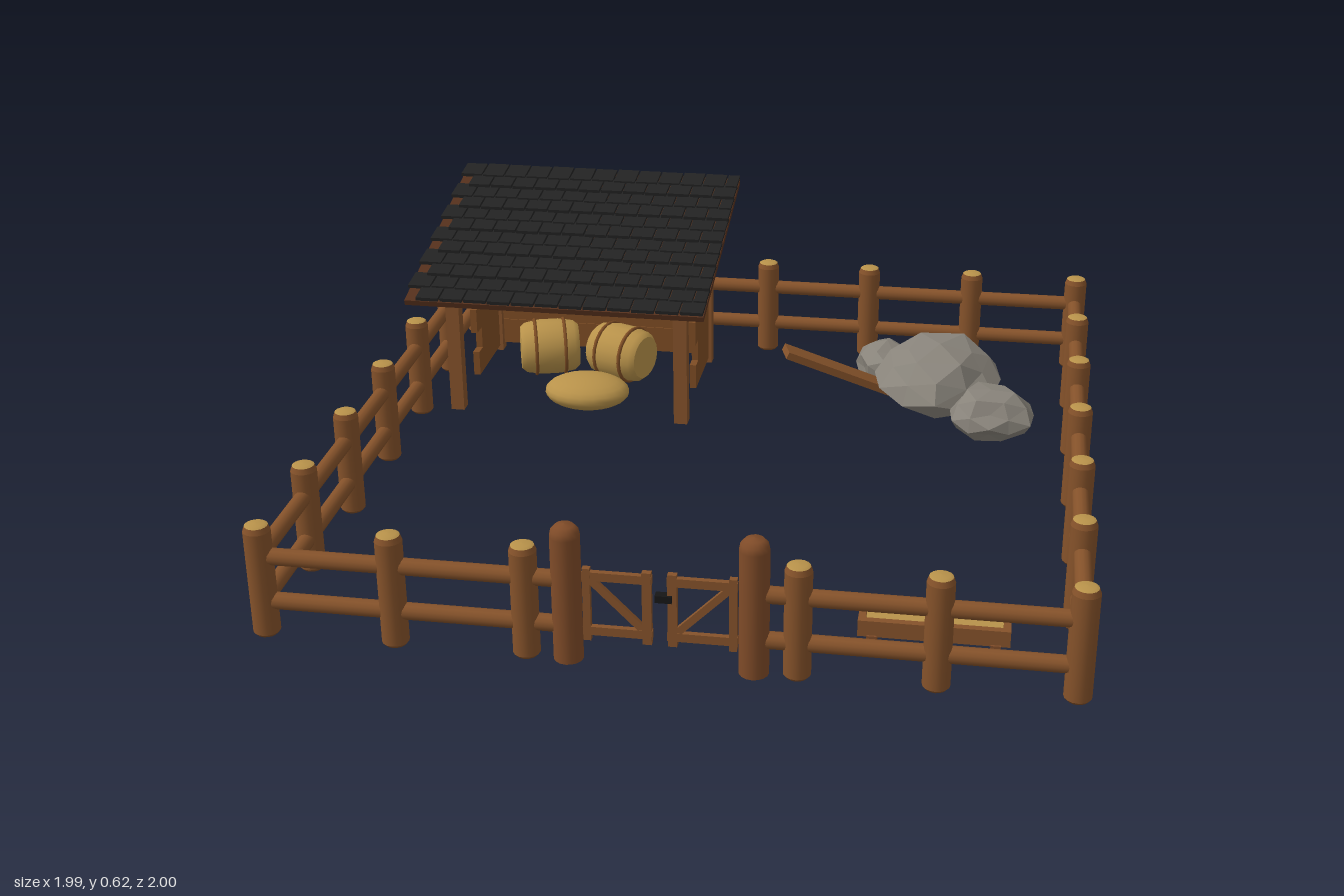
import * as THREE from 'three';

const mat = (name, color, opts = {}) => {
  const m = new THREE.MeshStandardMaterial({ color, ...opts });
  m.name = name;
  return m;
};

export function createModel() {
  const wood = mat('fence wood', 0x85522a);
  const plankWood = mat('plank wood', 0x7e4d24);
  const gateWood = mat('gate post wood', 0x7f4b28);
  const hay = mat('hay', 0xb8924a);
  const tile = mat('roof tile', 0x232323);
  const under = mat('roof boards', 0x55301c);
  const stone = mat('stone', 0x88837a, { flatShading: true });
  const iron = mat('iron', 0x161616);

  const model = new THREE.Group();
  const group = (name, parent = model) => {
    const g = new THREE.Group();
    g.name = name;
    parent.add(g);
    return g;
  };
  const add = (parent, name, geo, m, x = 0, y = 0, z = 0) => {
    const mesh = new THREE.Mesh(geo, m);
    mesh.name = name;
    mesh.position.set(x, y, z);
    parent.add(mesh);
    return mesh;
  };
  const box = (parent, name, m, w, h, d, x, y, z) =>
    add(parent, name, new THREE.BoxGeometry(w, h, d), m, x, y, z);
  const up = new THREE.Vector3(0, 1, 0);
  // Round bar or square bar between two points
  const bar = (parent, name, m, a, b, r, sides = 12) => {
    const p = new THREE.Vector3(...a), q = new THREE.Vector3(...b);
    const d = q.clone().sub(p);
    const mesh = add(parent, name, new THREE.CylinderGeometry(r, r, d.length(), sides), m);
    mesh.position.copy(p.add(q).multiplyScalar(0.5));
    mesh.quaternion.setFromUnitVectors(up, d.normalize());
    return mesh;
  };
  const lathe = (pts, n = 16) => new THREE.LatheGeometry(pts.map(p => new THREE.Vector2(...p)), n);

  // Fence posts with pale cut tops
  const fence = group('fence');
  const postGeo = lathe([[0, 0.04], [0.026, 0.04], [0.033, 0.048], [0.033, 0.048],
    [0.033, 0.318], [0.033, 0.318], [0.028, 0.332]]);
  const capGeo = lathe([[0.028, 0.332], [0.02, 0.336], [0, 0.337]]);
  for (let i = -3; i <= 3; i++) {
    for (let j = -3; j <= 3; j++) {
      const edge = Math.abs(i) === 3 || Math.abs(j) === 3;
      if (!edge || (i === 0 && j === 3)) continue;
      add(fence, 'fencePost', postGeo, wood, i * 0.321, 0, j * 0.321);
      add(fence, 'fencePostTop', capGeo, hay, i * 0.321, 0, j * 0.321);
    }
  }
  // Fence rails, leaving the gate opening in front
  const e = 0.963;
  for (const y of [0.13, 0.25]) {
    bar(fence, 'backRail', wood, [-e, y, -e], [e, y, -e], 0.021);
    for (const s of [-1, 1]) {
      bar(fence, 'sideRail', wood, [s * e, y, -e], [s * e, y, e], 0.021);
      bar(fence, 'frontRail', wood, [s * e, y, e], [s * 0.22, y, e], 0.021);
    }
  }

  // Gate: domed posts and two braced leaves
  const gate = group('gate');
  const gatePost = lathe([[0, 0.04], [0.036, 0.04], [0.036, 0.04], [0.036, 0.365],
    [0.033, 0.38], [0.022, 0.392], [0, 0.396]]);
  for (const s of [-1, 1]) {
    add(gate, 'gatePost', gatePost, gateWood, s * 0.22, 0, e);
    const leaf = group('gateLeaf', gate);
    box(leaf, 'innerStile', wood, 0.022, 0.19, 0.016, s * 0.03, 0.19, e);
    box(leaf, 'outerStile', wood, 0.018, 0.19, 0.016, s * 0.172, 0.19, e);
    for (const y of [0.12, 0.265]) box(leaf, 'gateRail', wood, 0.165, 0.022, 0.014, s * 0.1, y, e);
    const brace = box(leaf, 'gateBrace', wood, 0.185, 0.018, 0.012, s * 0.1, 0.192, e);
    brace.rotation.z = s * 0.79;
  }
  box(gate, 'latch', iron, 0.04, 0.018, 0.022, 0.01, 0.222, e + 0.003);

  // Shelter frame: low front posts, tall back posts
  const shelter = group('shelter');
  for (const x of [-0.86, -0.18]) {
    box(shelter, 'shelterFrontPost', wood, 0.04, 0.41, 0.04, x, 0.245, -0.365);
    box(shelter, 'shelterBackPost', wood, 0.04, 0.52, 0.04, x, 0.3, -0.83);
  }
  // Back wall boards
  for (let i = 0; i < 6; i++)
    box(shelter, 'backBoard', plankWood, 0.69, 0.08, 0.018 + (i % 2) * 0.005, -0.52, 0.1 + i * 0.0825, -0.84);
  // Side boards of uneven length
  const lengths = [0.24, 0.2, 0.25, 0.13, 0.25];
  for (const x of [-0.86, -0.18])
    lengths.forEach((l, i) =>
      box(shelter, 'sideBoard', plankWood, 0.02, 0.076, l, x, 0.095 + i * 0.072 + (i > 3 ? 0.004 : 0), -0.81 + l / 2));
  // Beams under the roof
  box(shelter, 'frontBeam', wood, 0.72, 0.03, 0.03, -0.52, 0.435, -0.365);

  // Sloping roof with staggered overlapping tiles
  const roof = group('roof', shelter);
  roof.position.set(-0.53, 0.513, -0.598);
  roof.rotation.x = 0.242;
  box(roof, 'roofDeck', under, 0.875, 0.016, 0.74, 0, -0.004, 0);
  const rows = 12, pitch = 0.0615;
  for (let r = 0; r < rows; r++) {
    const z = -0.335 + r * pitch;
    const place = (w, x, k) => {
      const t = box(roof, 'roofTile', tile, w - 0.005, 0.01, 0.078 + (k % 3) * 0.003, x, 0.014 + (k % 2) * 0.002, z);
      t.rotation.x = -0.12;
    };
    const start = r % 2 ? -0.4 : -0.44;
    for (let c = 0; c < 12; c++) place(0.07, start + 0.035 + c * 0.07, c * 2 + r);
    if (r % 2 === 0) place(0.04, 0.42, r);
  }

  // Round hay bales tied with bands, and a loose heap
  const bales = group('hayBales');
  const baleGeo = lathe([[0, -0.09], [0.065, -0.09], [0.065, -0.09], [0.078, -0.075], [0.086, -0.03],
    [0.086, 0.03], [0.078, 0.075], [0.065, 0.09], [0.065, 0.09], [0, 0.09]], 18);
  for (const [x, z, turn] of [[-0.65, -0.67, 0.3], [-0.42, -0.66, -0.4]]) {
    const bale = group('hayBale', bales);
    bale.position.set(x, 0.125, z);
    bale.rotation.set(0, turn, Math.PI / 2);
    add(bale, 'baleBody', baleGeo, hay);
    for (const y of [-0.045, 0.045]) {
      const band = add(bale, 'baleBand', new THREE.TorusGeometry(0.084, 0.006, 6, 20), plankWood, 0, y, 0);
      band.rotation.x = Math.PI / 2;
    }
  }
  add(bales, 'hayHeap', new THREE.SphereGeometry(1, 20, 12), hay, -0.5, 0.05, -0.52).scale.set(0.13, 0.05, 0.1);

  // Boulders: faceted balls with vertices pushed in and out by a repeatable rule
  const rocks = group('rocks');
  const rock = (name, x, y, z, sx, sy, sz, seed, detail) => {
    const geo = new THREE.IcosahedronGeometry(1, detail);
    const p = geo.attributes.position, v = new THREE.Vector3();
    for (let i = 0; i < p.count; i++) {
      v.fromBufferAttribute(p, i);
      const n = Math.sin(v.x * 5.1 + seed) + Math.sin(v.y * 6.3 + seed * 2) + Math.sin(v.z * 5.7 + seed * 3);
      v.multiplyScalar(0.98 + n * 0.075);
      p.setXYZ(i, v.x, Math.max(v.y, -0.8), v.z);
    }
    geo.computeVertexNormals();
    add(rocks, name, geo, stone, x, y, z).scale.set(sx, sy, sz);
  };
  rock('bigRock', 0.565, 0.135, -0.6, 0.19, 0.1, 0.21, 1.3, 1);
  rock('backRock', 0.4, 0.115, -0.72, 0.1, 0.075, 0.105, 2.6, 1);
  rock('frontRock', 0.725, 0.12, -0.39, 0.12, 0.075, 0.13, 4.1, 1);

  // Plank propped on the rocks
  const plank = group('proppedPlank');
  plank.position.set(0.27, 0.175, -0.505);
  plank.rotation.set(0, 0.3, -0.42, 'YZX');
  box(plank, 'plank', wood, 0.35, 0.022, 0.072, 0, 0, 0);

  // Feeding trough on two cross feet
  const trough = group('trough');
  trough.position.set(0.627, 0, 0.76);
  for (const s of [-1, 1]) {
    box(trough, 'troughFoot', gateWood, 0.024, 0.036, 0.128, s * 0.146, 0.058, 0);
    box(trough, 'troughSide', wood, 0.36, 0.042, 0.018, 0, 0.093, s * 0.05);
    box(trough, 'troughEnd', wood, 0.018, 0.042, 0.1, s * 0.171, 0.093, 0);
  }
  box(trough, 'troughBase', wood, 0.34, 0.012, 0.1, 0, 0.078, 0);
  box(trough, 'troughHay', hay, 0.325, 0.02, 0.084, 0, 0.094, 0);

  return model;
}
